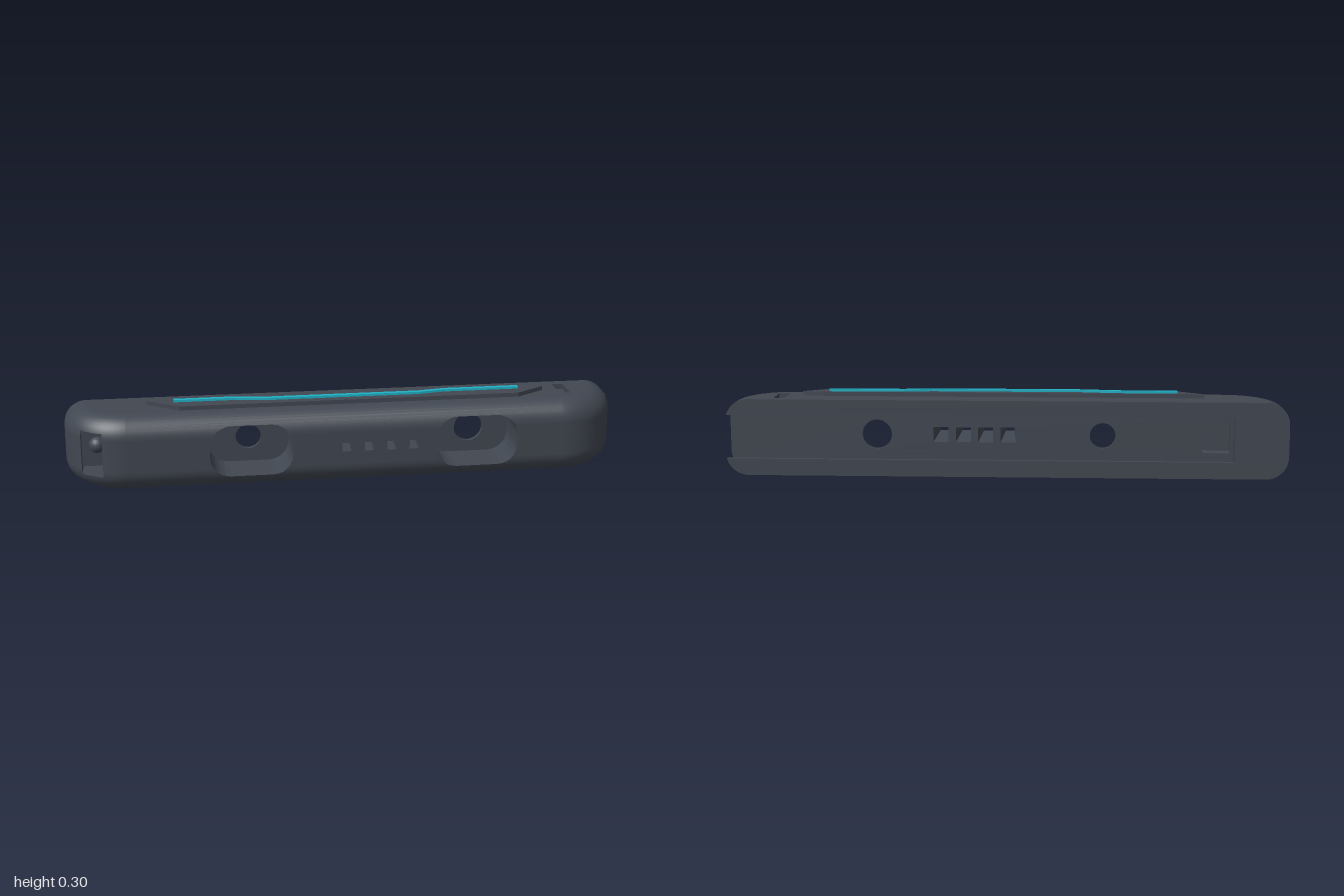
import * as THREE from 'three';

const H = 0.275, R = 0.08, FLAT = 0.78, ARC = 0.22, ZC = -0.095, BACK = -0.125, FLOOR = -0.055, LIP = -0.108;
const QUARTER = ARC * Math.PI / 2, END = FLAT + QUARTER + ZC - BACK;
const CH0 = 0.038, CH1 = 0.237, LIP0 = 0.06, LIP1 = 0.217, CHX = -0.81; // rail channel limits

const material = (name, color) => Object.assign(
  new THREE.MeshStandardMaterial({ color, side: THREE.DoubleSide }), { name });

// Inward offset of the rounded edge profile at height y
function inset(y) {
  const e = Math.max(0, R - y, y - (H - R));
  return R - Math.sqrt(Math.max(0, R * R - e * e));
}

// Point and outward direction on the plan outline; t runs from the -x end round the front to the +x end
function outline(t, d) {
  const s = Math.sign(t), a = Math.abs(t);
  if (a <= FLAT) return { x: t, z: -BACK - d, nx: 0, nz: 1 };
  const th = Math.min((a - FLAT) / ARC, Math.PI / 2);
  const nx = s * Math.sin(th), nz = Math.cos(th);
  const rest = Math.max(0, a - FLAT - QUARTER);
  return { x: s * FLAT + nx * (ARC - d), z: ZC + nz * (ARC - d) - rest, nx, nz };
}

function skinPoint(t, y) {
  const p = outline(t, inset(y));
  return [p.x, y, p.z];
}

function skinNormal(t, y) {
  const p = outline(t, 0);
  const sy = y < R ? (y - R) / R : y > H - R ? (y - H + R) / R : 0;
  const c = Math.sqrt(Math.max(0, 1 - sy * sy));
  return [p.nx * c, sy, p.nz * c];
}

// Openings in the skin: centre, half sizes, corner radius
const opening = (c, cy, w, h, r = 0) => ({ c, cy, w, h, r });
const halfWidth = (o, y) => {
  const e = Math.max(0, Math.abs(y - o.cy) - (o.h - o.r));
  return o.w - o.r + Math.sqrt(Math.max(0, o.r * o.r - e * e));
};
const span = (t0, t1, y0, y1) => opening((t0 + t1) / 2, (y0 + y1) / 2, (t1 - t0) / 2, (y1 - y0) / 2);

const pockets = [opening(-0.345, 0.14, 0.147, 0.093, 0.075), opening(0.465, 0.14, 0.147, 0.093, 0.075)];
const holeRadii = [0.046, 0.053];
const ports = [-0.007, 0.074, 0.154, 0.235].map(x => opening(x, 0.14, 0.016, 0.016));
const arcT = x => FLAT + ARC * Math.asin((x - FLAT) / ARC);
const latch = span(-arcT(0.94), -arcT(0.865), 0.06, 0.22);
const slotT = FLAT + ARC * Math.acos((FLOOR - ZC) / ARC), lipT = END - (LIP - BACK);
const openEnd = [span(slotT, lipT, CH0, CH1), span(lipT, END, LIP0, LIP1)];
const openings = [...pockets, ...ports, latch, ...openEnd];

// Heights of all skin rows
function makeRows() {
  const ys = [];
  for (let i = 0; i <= 10; i++) {
    const e = R - R * Math.sin(i * Math.PI / 20);
    ys.push(e, H - e);
  }
  for (const o of openings) {
    for (let i = 0; i <= 6; i++) {
      const e = o.h - o.r + o.r * Math.sin(i * Math.PI / 12);
      ys.push(o.cy - e, o.cy + e);
    }
  }
  return [...new Set(ys.map(y => y.toFixed(4)))].map(Number).sort((a, b) => a - b);
}
const rows = makeRows();

function bufferFrom(pos, normals) {
  const g = new THREE.BufferGeometry();
  g.setAttribute('position', new THREE.Float32BufferAttribute(pos, 3));
  if (normals) g.setAttribute('normal', new THREE.Float32BufferAttribute(normals, 3));
  else g.computeVertexNormals();
  return g;
}

// Rounded front and ends, built in bands that leave the openings free
function skinGeometry() {
  const cols = [-END, END, slotT, lipT, latch.c - latch.w, latch.c + latch.w];
  for (let i = 0; i <= 14; i++) cols.push(FLAT + QUARTER * i / 14, -FLAT - QUARTER * i / 14);
  const pos = [], nor = [];
  for (let k = 0; k < rows.length - 1; k++) {
    const y0 = rows[k], y1 = rows[k + 1], ym = (y0 + y1) / 2;
    const active = openings.filter(o => Math.abs(ym - o.cy) < o.h);
    const edges = cols.map(t => [t, t]);
    for (const o of active) for (const s of [-1, 1])
      edges.push([o.c + s * halfWidth(o, y0), o.c + s * halfWidth(o, y1)]);
    edges.sort((a, b) => a[0] + a[1] - b[0] - b[1]);
    for (let i = 0; i < edges.length - 1; i++) {
      const [a0, a1] = edges[i], [b0, b1] = edges[i + 1];
      const mid = (a0 + a1 + b0 + b1) / 4;
      if (b0 + b1 - a0 - a1 < 1e-6 || active.some(o => Math.abs(mid - o.c) < halfWidth(o, ym))) continue;
      for (const [t, y] of [[a0, y0], [b0, y0], [b1, y1], [a0, y0], [b1, y1], [a1, y1]]) {
        pos.push(...skinPoint(t, y));
        nor.push(...skinNormal(t, y));
      }
    }
  }
  return bufferFrom(pos, nor);
}

// Rim of an opening on the skin
function rim(o) {
  const ys = rows.filter(y => Math.abs(y - o.cy) < o.h + 1e-4);
  return [...ys.map(y => skinPoint(o.c - halfWidth(o, y), y)),
    ...ys.slice().reverse().map(y => skinPoint(o.c + halfWidth(o, y), y))];
}

// Walls joining two matching closed loops
function wallGeometry(a, b) {
  const pos = [];
  a.forEach((p, i) => {
    const j = (i + 1) % a.length;
    pos.push(...p, ...a[j], ...b[j], ...p, ...b[j], ...b[i]);
  });
  return bufferFrom(pos);
}

const vec = pts => pts.map(p => new THREE.Vector2(p[0], p[1]));
const rect = (x0, x1, y0, y1) => [[x0, y0], [x1, y0], [x1, y1], [x0, y1]];
const circle = (x, y, r) => Array.from({ length: 32 }, (_, i) =>
  [x + r * Math.cos(i * Math.PI / 16), y + r * Math.sin(i * Math.PI / 16)]);
function sheet(pts, holes = []) {
  const s = new THREE.Shape(vec(pts));
  s.holes = holes.map(h => new THREE.Path(vec(h)));
  return new THREE.ShapeGeometry(s);
}
const upright = (pts, z, holes) => sheet(pts, holes).translate(0, 0, z);
// Horizontal sheet from points given as [x, z]
const flip = pts => pts.map(([x, z]) => [x, -z]);
const level = (pts, y, holes = []) => sheet(flip(pts), holes.map(flip)).rotateX(-Math.PI / 2).translate(0, y, 0);
const atY = (pts, y) => pts.map(([x, z]) => [x, y, z]);
const atZ = (pts, z) => pts.map(([x, y]) => [x, y, z]);

export function createModel() {
  const model = new THREE.Group();
  model.name = 'barHousing';
  const shell = material('slate shell', 0x414751);
  const cyan = material('cyan accent', 0x1fb0c4);
  const add = (name, geometry, mat = shell) => {
    const m = new THREE.Mesh(geometry, mat);
    m.name = name;
    model.add(m);
    return m;
  };

  add('roundedShell', skinGeometry());

  // Top with a slot recess, underside with a cross recess
  const plan = [];
  for (let i = 0; i <= 14; i++) plan.push(-END * (i === 0) - (FLAT + QUARTER * (1 - (i - 1) / 13)) * (i > 0));
  const planPts = [...plan, ...plan.slice().reverse().map(t => -t)].map(t => {
    const p = outline(t, R);
    return [p.x, p.z];
  });
  const slot = rect(0.79, 0.83, -0.09, 0.02);
  const a = 0.055, b = 0.015;
  const cross = [[-b, -a], [b, -a], [b, -b], [a, -b], [a, b], [b, b], [b, a], [-b, a], [-b, b], [-a, b], [-a, -b], [-b, -b]]
    .map(([x, z]) => [x + 0.79, z - 0.035]);
  for (const [name, y, depthY, hole] of [['top', H, H - 0.02, slot], ['underside', 0, 0.012, cross]]) {
    add(name, level(planPts, y, [hole]));
    add(name + 'RecessWall', wallGeometry(atY(hole, y), atY(hole, depthY)));
    add(name + 'RecessFloor', level(hole, depthY));
  }

  // Front pockets with round through holes
  const pocketZ = -0.04;
  const holes = pockets.map((o, i) => circle(o.c, o.cy, holeRadii[i]));
  pockets.forEach((o, i) => {
    const edge = rim(o);
    add('pocketWall', wallGeometry(edge, atZ(edge, pocketZ)));
    add('pocketFloor', upright(edge, pocketZ, [holes[i]]));
    add('roundHoleWall', wallGeometry(atZ(holes[i], pocketZ), atZ(holes[i], FLOOR)));
  });

  // Square ports widening towards the back
  const wide = 0.027;
  ports.forEach(o => {
    const k = wide / o.w, edge = rim(o);
    add('portWall', wallGeometry(edge, edge.map(([x, y]) => [o.c + (x - o.c) * k, o.cy + (y - o.cy) * k, FLOOR])));
    holes.push(rect(o.c - wide, o.c + wide, o.cy - wide, o.cy + wide));
  });

  // Latch recess on the closed end
  const latchRim = rim(latch), latchZ = -0.02;
  add('latchRecessWall', wallGeometry(latchRim, atZ(latchRim, latchZ)));
  add('latchRecessFloor', upright(latchRim, latchZ));
  add('latchKnob', new THREE.SphereGeometry(0.03, 20, 12)).position.set(-0.885, 0.14, latchZ);

  // Rail channel at the back, open at the +x end
  const catchHole = rect(-0.8, -0.7, 0.08, 0.195);
  const xEnd = y => skinPoint(lipT, y)[0], xFloor = y => skinPoint(slotT, y)[0];
  const sideYs = rows.filter(y => y >= CH0 && y <= CH1);
  add('channelFloor', upright([[CHX, CH1], [CHX, CH0], ...sideYs.map(y => [xFloor(y), y])], FLOOR, [...holes, catchHole]));
  add('catchWall', wallGeometry(atZ(catchHole, FLOOR), atZ(catchHole, 0)));
  add('catchFloor', upright(catchHole, 0));
  add('channelEnd', new THREE.PlaneGeometry(FLOOR - LIP, CH1 - CH0).rotateY(Math.PI / 2)
    .translate(CHX, (CH0 + CH1) / 2, (FLOOR + LIP) / 2));
  add('lipEnd', new THREE.PlaneGeometry(LIP - BACK, LIP1 - LIP0).rotateY(Math.PI / 2)
    .translate(CHX, (LIP0 + LIP1) / 2, (LIP + BACK) / 2));
  for (const [wallY, lipY] of [[CH0, LIP0], [CH1, LIP1]]) {
    add('railWall', level(rect(CHX, xEnd(wallY), LIP, FLOOR), wallY));
    add('railLipEdge', level(rect(CHX, xEnd(lipY), BACK, LIP), lipY));
    add('railLipInside', upright([[CHX, wallY], [xEnd(wallY), wallY], [xEnd(lipY), lipY], [CHX, lipY]], LIP));
  }

  // Back rim around the channel mouth
  const side = (ys, s) => ys.map(y => [s * (1 - inset(y)), y]);
  add('backRim', upright([
    ...side(rows.filter(y => y <= LIP0), 1), [CHX, LIP0], [CHX, LIP1],
    ...side(rows.filter(y => y >= LIP1), 1), ...side(rows.slice().reverse(), -1)], BACK));

  // Raised trim on top with its bent cyan strip
  const slab = (pts, y0, y1) => new THREE.ExtrudeGeometry(new THREE.Shape(vec(flip(pts))), { depth: y1 - y0, bevelEnabled: false })
    .rotateX(-Math.PI / 2).translate(0, y0, 0);
  add('trimBase', slab([[-0.705, -0.037], [-0.59, 0.042], [0.63, 0.042], [0.735, -0.025], [0.66, -0.037]], H, 0.29));
  const bend = [[-0.61, -0.025], [-0.39, -0.025], [-0.27, -0.008], [0.27, -0.008], [0.37, -0.025], [0.64, -0.025]];
  add('accentStrip', slab([...bend, ...bend.slice().reverse().map(([x, z]) => [x, z + 0.018])], 0.289, 0.298), cyan);
  return model;
}
